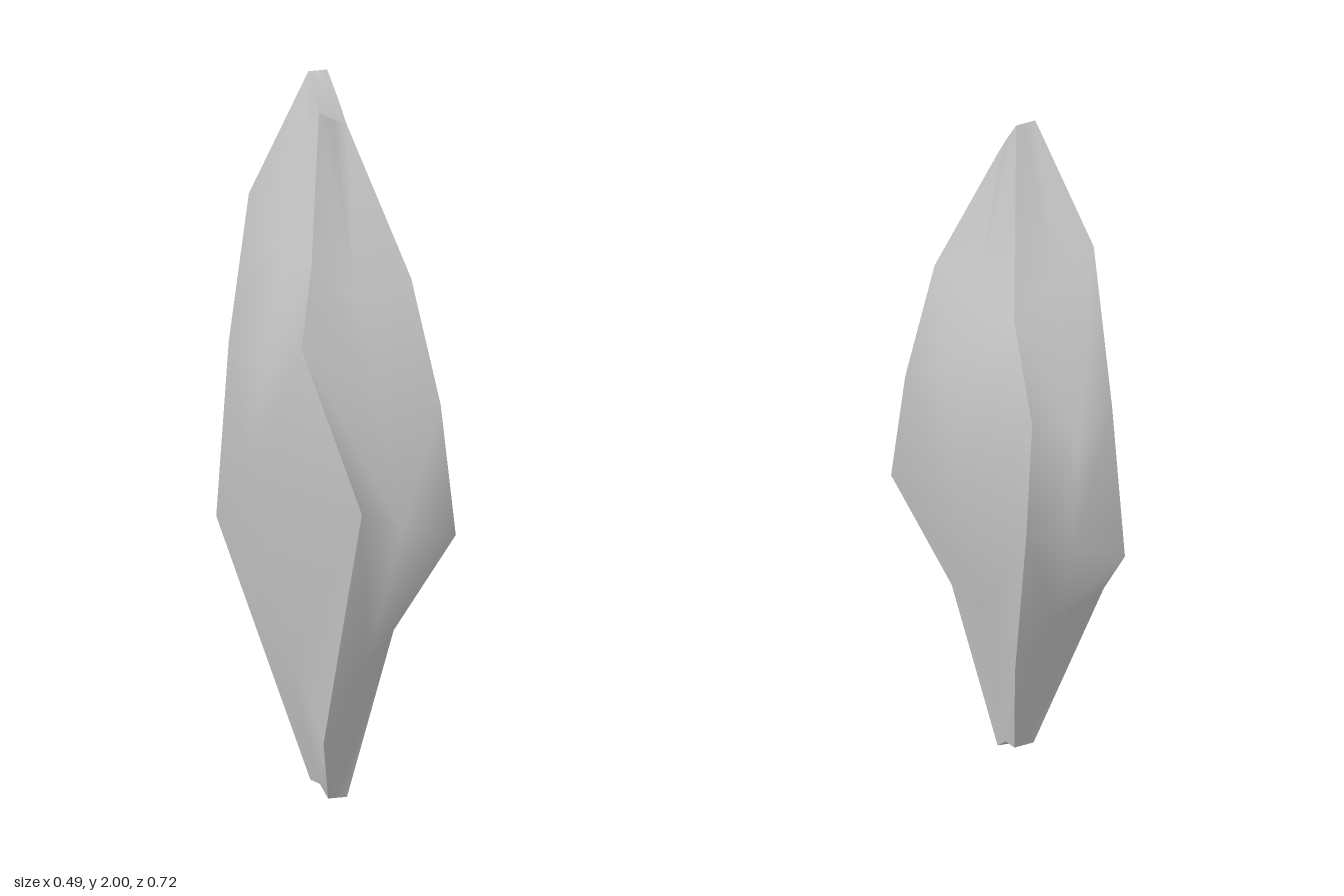
import * as THREE from 'three';

// Eight vertical lines of the shard, top to bottom: four sharp corners and
// the soft middle line of the face between each pair of corners.
const frontLeft = [[-0.06, 1.9, 0.065], [-0.14, 1.5, 0.16], [-0.22, 1.28, 0.24], [-0.1, 0.83, 0.36], [-0.105, 0.17, 0.165], [-0.03, 0, 0.065]];
const frontMid = [[-0.015, 1.88, 0.065], [-0.02, 1.4, 0.19], [0, 1.18, 0.26], [0.03, 0.78, 0.36], [0, 0.38, 0.21], [0, 0, 0.065]];
const frontRight = [[0.03, 1.86, 0.065], [0.13, 1.45, 0.24], [0.2, 1.1, 0.28], [0.2, 0.75, 0.36], [0.11, 0.47, 0.18], [0.03, 0, 0.065]];
const rightMid = [[0.03, 1.93, 0.015], [0.13, 1.47, 0], [0.245, 1.26, 0], [0.2, 0.83, 0], [0.1, 0.48, 0.01], [0.03, 0.035, 0.02]];
const backRight = [[0.03, 2, -0.04], [0.13, 1.5, -0.21], [0.14, 1.23, -0.33], [0.147, 0.88, -0.31], [0.1, 0.36, -0.16], [0.03, 0.04, -0.03]];
const backMid = [[0, 2, -0.04], [-0.01, 1.58, -0.18], [0.01, 1.15, -0.36], [0, 0.8, -0.31], [-0.01, 0.52, -0.2], [0, 0.04, -0.03]];
const backLeft = [[-0.03, 2, -0.04], [-0.13, 1.65, -0.19], [-0.11, 1.22, -0.33], [-0.15, 0.74, -0.33], [-0.15, 0.58, -0.21], [-0.03, 0.04, -0.03]];
const leftMid = [[-0.045, 1.95, 0.015], [-0.14, 1.5, 0], [-0.2, 1.16, 0], [-0.245, 0.92, -0.005], [-0.107, 0.38, 0], [-0.03, 0.035, 0.02]];

const lines = [frontLeft, frontMid, frontRight, rightMid, backRight, backMid, backLeft, leftMid];
const rows = frontLeft.length;

function makeMesh(name, points, index) {
  const geometry = new THREE.BufferGeometry();
  geometry.setAttribute('position', new THREE.Float32BufferAttribute(points.flat(), 3));
  geometry.setIndex(index);
  geometry.computeVertexNormals();
  const mesh = new THREE.Mesh(geometry, new THREE.MeshStandardMaterial({ color: 0xcccccc }));
  mesh.name = name;
  return mesh;
}

// One long face: corner, middle and corner lines, smooth within itself
function makeFace(name, columns) {
  const index = [];
  for (let c = 0; c < 2; c++) {
    for (let r = 0; r < rows - 1; r++) {
      const a = c * rows + r, b = a + 1, d = a + rows, e = d + 1;
      // folds run from the corners down to the middle line
      if (c === 0) index.push(a, b, e, a, e, d);
      else index.push(a, b, d, b, e, d);
    }
  }
  return makeMesh(name, columns.flat(), index);
}

// Flat-ish end closing a ring of eight points around its centre
function makeCap(name, ring, facesUp) {
  const centre = [0, 1, 2].map(k => ring.reduce((sum, p) => sum + p[k], 0) / ring.length);
  const index = [];
  for (let i = 0; i < 8; i++) {
    const j = (i + 1) % 8;
    index.push(8, ...(facesUp ? [i, j] : [j, i]));
  }
  return makeMesh(name, [...ring, centre], index);
}

export function createModel() {
  const group = new THREE.Group();
  group.name = 'crystalShard';
  ['frontFace', 'rightFace', 'backFace', 'leftFace'].forEach((name, i) => {
    group.add(makeFace(name, [0, 1, 2].map(k => lines[(2 * i + k) % 8])));
  });
  group.add(makeCap('topTip', lines.map(line => line[0]), true));
  group.add(makeCap('bottomTip', lines.map(line => line[rows - 1]), false));
  return group;
}
